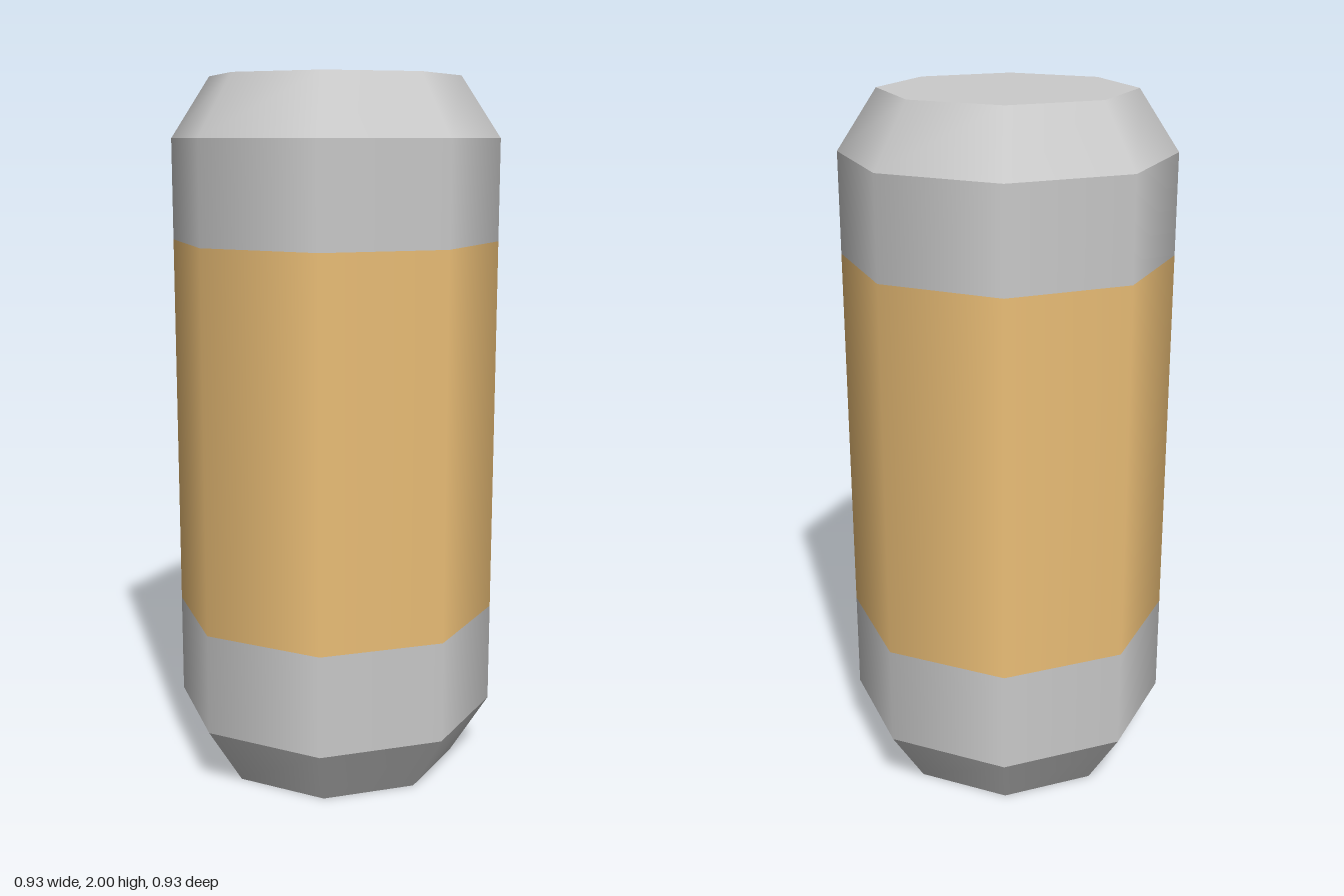
import * as THREE from 'three';

const SIDES = 8;
const BODY_RADIUS = 0.465;
const END_RADIUS = 0.353;

export function createModel() {
  const group = new THREE.Group();
  const grey = new THREE.MeshStandardMaterial({ color: 0xcccccc });
  const tan = new THREE.MeshStandardMaterial({ color: 0xedc078 });

  // One eight-sided ring between two heights, smooth around its side
  function ring(name, y0, y1, r0, r1, material) {
    const geometry = new THREE.CylinderGeometry(r1, r0, y1 - y0, SIDES, 1, true);
    const mesh = new THREE.Mesh(geometry, material);
    mesh.name = name;
    mesh.position.y = (y0 + y1) / 2;
    group.add(mesh);
  }

  // Flat octagonal end face, turned up or down
  function endFace(name, y, direction) {
    const geometry = new THREE.CircleGeometry(END_RADIUS, SIDES);
    geometry.rotateX(-direction * Math.PI / 2);
    const mesh = new THREE.Mesh(geometry, grey);
    mesh.name = name;
    mesh.position.y = y;
    group.add(mesh);
  }

  // Body from bottom to top
  endFace('bottomFace', 0, -1);
  ring('bottomBevel', 0, 0.175, END_RADIUS, BODY_RADIUS, grey);
  ring('lowerBand', 0.175, 0.465, BODY_RADIUS, BODY_RADIUS, grey);
  ring('colouredBand', 0.465, 1.545, BODY_RADIUS, BODY_RADIUS, tan);
  ring('upperBand', 1.545, 1.83, BODY_RADIUS, BODY_RADIUS, grey);
  ring('topBevel', 1.83, 2, BODY_RADIUS, END_RADIUS, grey);
  endFace('topFace', 2, 1);

  return group;
}
